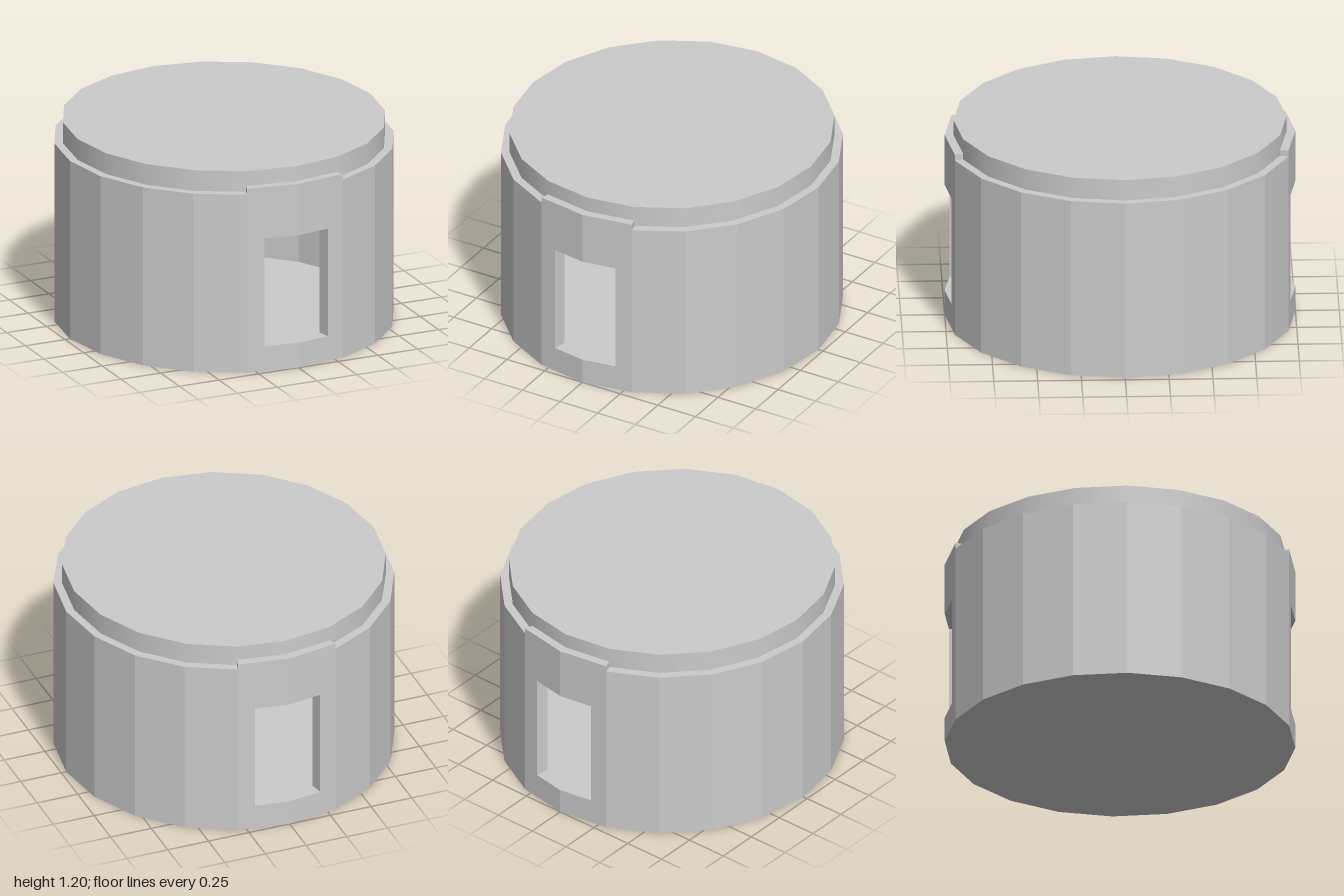
import * as THREE from 'three';

const SIDES = 20, SQUASH = 0.97, INNER = 0.92;
const WALL_TOP = 1.075, PANEL_TOP = 1.11, TOP = 1.2, FLOOR = 0.04;
const SILL = 0.15, LINTEL = 0.8, HALF_WINDOW = 0.2;

export function createModel() {
  const model = new THREE.Group();
  model.name = 'drumHouse';
  const material = new THREE.MeshStandardMaterial({ color: 0xcccccc, side: THREE.DoubleSide });

  // Corner k of the 20-sided plan as [x, z], counted from the front
  const corner = (k) => {
    const a = (k / SIDES) * Math.PI * 2;
    return [Math.sin(a) * SQUASH, Math.cos(a)];
  };

  // Curved wall piece: outer plan points, thickened inwards and raised from y0 to y1
  function wallPiece(name, outer, y0, y1, parent) {
    const inner = outer.map(([x, z]) => [x * INNER, z * INNER]).reverse();
    const shape = new THREE.Shape([...outer, ...inner].map(([x, z]) => new THREE.Vector2(x, -z)));
    const geometry = new THREE.ExtrudeGeometry(shape, { depth: y1 - y0, bevelEnabled: false });
    geometry.rotateX(-Math.PI / 2).translate(0, y0, 0);
    const mesh = new THREE.Mesh(geometry, material);
    mesh.name = name;
    parent.add(mesh);
  }

  // Flat round slab with the same plan
  function slab(name, radius, y0, y1) {
    const geometry = new THREE.CylinderGeometry(radius, radius, y1 - y0, SIDES);
    geometry.scale(SQUASH, 1, 1).translate(0, (y0 + y1) / 2, 0);
    const mesh = new THREE.Mesh(geometry, material);
    mesh.name = name;
    model.add(mesh);
  }

  // Side walls
  const arc = Array.from({ length: 9 }, (_, i) => corner(i + 1));
  wallPiece('leftWall', arc, 0, WALL_TOP, model);
  wallPiece('rightWall', arc.map(([x, z]) => [-x, z]), 0, WALL_TOP, model);

  // Taller front and back panels, each with a window opening
  const [ex, ez] = corner(1);
  const windowZ = 1 + (ez - 1) * (HALF_WINDOW / ex);
  const panelPlan = [[-ex, ez], [0, 1], [ex, ez]];
  for (const name of ['frontPanel', 'backPanel']) {
    const panel = new THREE.Group();
    panel.name = name;
    wallPiece('sill', panelPlan, 0, SILL, panel);
    wallPiece('lintel', panelPlan, LINTEL, PANEL_TOP, panel);
    for (const s of [-1, 1]) {
      wallPiece('jamb', [[s * HALF_WINDOW, windowZ], [s * ex, ez]], SILL, LINTEL, panel);
    }
    if (name === 'backPanel') panel.rotation.y = Math.PI;
    model.add(panel);
  }

  // Floor and raised roof disc
  slab('floor', 0.93, 0, FLOOR);
  slab('roof', 0.95, WALL_TOP - 0.02, TOP);

  return model;
}
